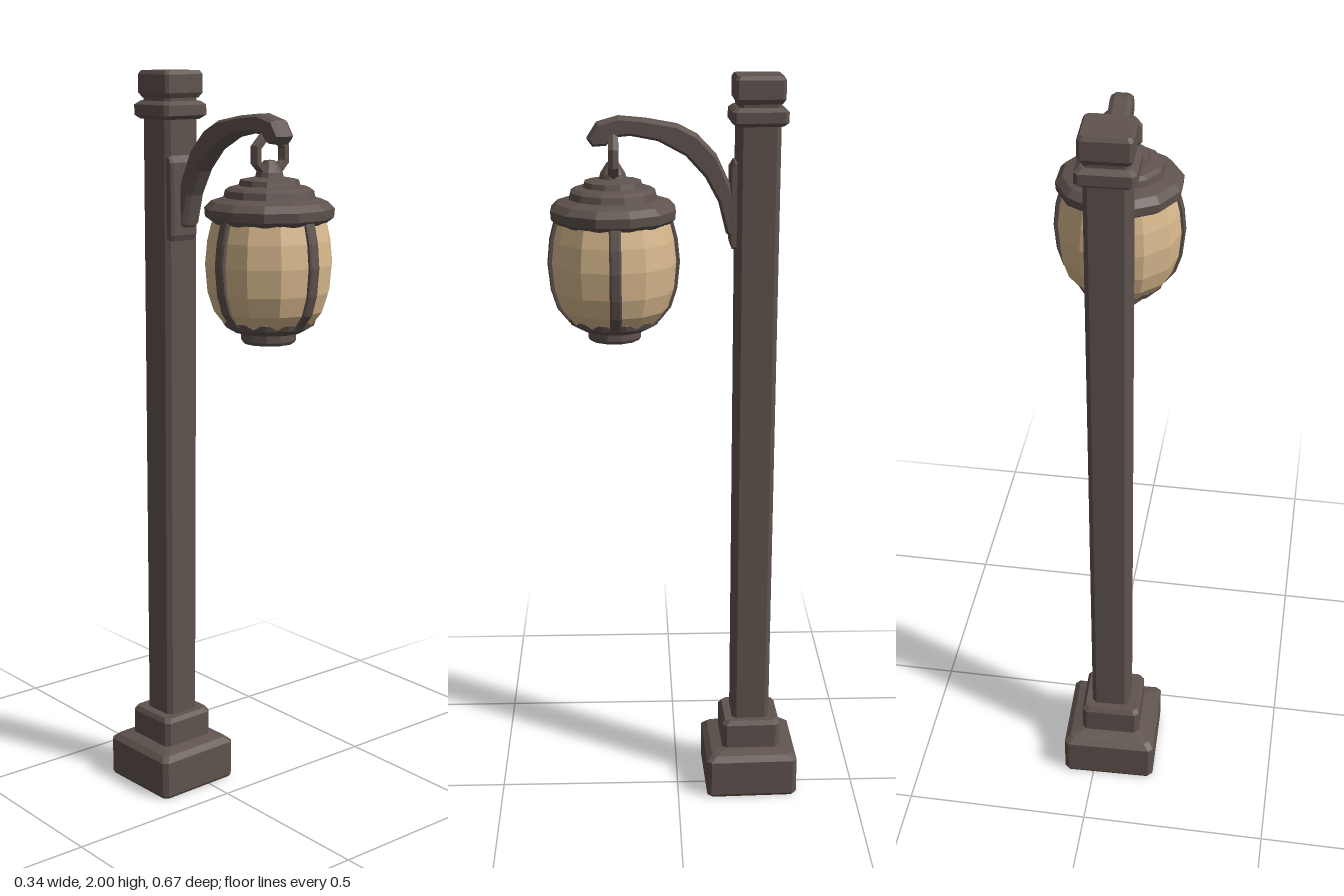
import * as THREE from 'three';

const metal = new THREE.MeshStandardMaterial({ color: 0x5f534e });
metal.name = 'dark bronze metal';
const glass = new THREE.MeshStandardMaterial({ color: 0xd8b98e });
glass.name = 'warm amber glass';

// Facets a geometry so every face is flat shaded
function faceted(geometry) {
  const g = geometry.index ? geometry.toNonIndexed() : geometry;
  g.computeVertexNormals();
  return g;
}

function part(name, geometry, material = metal) {
  const mesh = new THREE.Mesh(faceted(geometry), material);
  mesh.name = name;
  return mesh;
}

// Stacks chamfered square sections; each row is [y, halfWidth, chamfer, centreX, centreZ]
function squareLoft(rows) {
  const pos = [], idx = [];
  for (const [y, h, c, cx = 0, cz = 0] of rows) {
    const k = h - c;
    for (const [x, z] of [[k, h], [h, k], [h, -k], [k, -h], [-k, -h], [-h, -k], [-h, k], [-k, h]]) {
      pos.push(cx + x, y, cz + z);
    }
  }
  for (let r = 0; r < rows.length - 1; r++) {
    for (let i = 0; i < 8; i++) {
      const a = r * 8 + i, b = r * 8 + (i + 1) % 8;
      idx.push(a, b, b + 8, a, b + 8, a + 8);
    }
  }
  const top = (rows.length - 1) * 8;
  for (let i = 1; i < 7; i++) {
    idx.push(0, i + 1, i, top, top + i, top + i + 1);
  }
  const g = new THREE.BufferGeometry();
  g.setAttribute('position', new THREE.Float32BufferAttribute(pos, 3));
  g.setIndex(idx);
  return g;
}

function lathe(points, sides, phase = 0) {
  return new THREE.LatheGeometry(points.map(([r, y]) => new THREE.Vector2(r, y)), sides, phase);
}

// Extrudes a (z, y) outline sideways, centred on x = 0
function sideProfile(points, width, bevel = 0) {
  const shape = new THREE.Shape(points.map(([z, y]) => new THREE.Vector2(z, y)));
  const depth = width - 2 * bevel;
  const g = new THREE.ExtrudeGeometry(shape, {
    depth, bevelEnabled: bevel > 0, bevelThickness: bevel,
    bevelSize: bevel * 0.6, bevelOffset: -bevel * 0.6, bevelSegments: 1,
  });
  g.translate(0, 0, -depth / 2);
  g.rotateY(-Math.PI / 2);
  return g;
}

export function createModel() {
  const model = new THREE.Group();
  model.name = 'streetLamp';

  // Square post with stepped foot, collar and cap, turned very slightly
  const post = new THREE.Group();
  post.name = 'post';
  post.position.set(-0.04, 0, -0.205);
  post.rotation.y = 0.03;
  post.add(
    part('footBlock', squareLoft([[0, 0.123, 0.012], [0.008, 0.127, 0.012], [0.108, 0.127, 0.012], [0.122, 0.112, 0.012], [0.132, 0.08, 0.01]])),
    part('footStep', squareLoft([[0.11, 0.081, 0.012], [0.2, 0.081, 0.012], [0.212, 0.073, 0.012]])),
    part('shaft', squareLoft([[0.2, 0.052, 0.012, 0.003], [1.95, 0.055, 0.012, 0.014]])),
    part('collar', squareLoft([[1.875, 0.06, 0.01, 0.014], [1.885, 0.072, 0.01, 0.014], [1.912, 0.072, 0.01, 0.014], [1.922, 0.06, 0.01, 0.014]])),
    part('cap', squareLoft([[1.93, 0.056, 0.008, 0.015], [1.943, 0.064, 0.008, 0.015], [1.99, 0.064, 0.008, 0.015], [2, 0.058, 0.008, 0.015]])),
  );
  model.add(post);

  // Wall plate
  const plate = part('mountingPlate', sideProfile([
    [-0.175, 1.56], [-0.14, 1.56], [-0.134, 1.575], [-0.134, 1.765], [-0.145, 1.783], [-0.175, 1.783],
  ], 0.085, 0.008));
  plate.position.x = -0.035;
  model.add(plate);

  // Curved arm, leaning sideways towards the lantern
  const armShape = sideProfile([
    [-0.15, 1.585], [-0.125, 1.6], [-0.105, 1.68], [-0.07, 1.745], [-0.02, 1.8], [0.05, 1.838],
    [0.12, 1.852], [0.165, 1.848], [0.18, 1.828], [0.215, 1.826], [0.23, 1.846], [0.205, 1.885],
    [0.15, 1.9], [0.08, 1.893], [0, 1.878], [-0.05, 1.852], [-0.1, 1.8], [-0.135, 1.725], [-0.15, 1.67],
  ], 0.056, 0.012);
  const p = armShape.attributes.position;
  for (let i = 0; i < p.count; i++) {
    p.setX(i, p.getX(i) - 0.021 + (p.getZ(i) + 0.14) * 0.065);
  }
  model.add(part('arm', armShape));

  // Lantern
  const lantern = new THREE.Group();
  lantern.name = 'lantern';
  lantern.position.set(0.002, 0, 0.165);
  const phase = Math.PI / 12;
  lantern.add(
    part('lid', lathe([
      [0, 1.628], [0.145, 1.632], [0.163, 1.645], [0.165, 1.668], [0.148, 1.685], [0.116, 1.695],
      [0.112, 1.712], [0.1, 1.72], [0.078, 1.724], [0.074, 1.738], [0.036, 1.745], [0.033, 1.757], [0.015, 1.785], [0, 1.787],
    ], 12, phase)),
    part('glassBowl', lathe([
      [0, 1.372], [0.112, 1.372], [0.142, 1.41], [0.158, 1.46], [0.164, 1.53], [0.158, 1.59], [0.147, 1.635],
    ], 12), glass),
    part('bottomRing', lathe([
      [0, 1.355], [0.09, 1.355], [0.116, 1.37], [0.121, 1.385], [0.114, 1.394], [0, 1.394],
    ], 12, phase)),
    part('bottomKnob', lathe([[0, 1.325], [0.066, 1.325], [0.071, 1.333], [0.071, 1.36], [0, 1.36]], 12, phase)),
  );

  // Four ribs that follow the bowl
  const ribPath = [[0.117, 1.372], [0.148, 1.41], [0.164, 1.46], [0.171, 1.53], [0.165, 1.59], [0.152, 1.64]];
  const ribOutline = [...ribPath, ...ribPath.map(([r, y]) => [r - 0.022, y]).reverse()];
  for (let i = 0; i < 4; i++) {
    const rib = part('rib', sideProfile(ribOutline, 0.03, 0.005));
    rib.rotation.y = i * Math.PI / 2 + 0.03;
    lantern.add(rib);
  }

  // Hanging ring linked through the arm tip
  const ring = part('hangingRing', new THREE.TorusGeometry(0.049, 0.015, 6, 8, Math.PI * 2));
  ring.position.set(0.003, 1.8, -0.002);
  ring.rotation.z = Math.PI / 8;
  lantern.add(ring);
  model.add(lantern);

  return model;
}
